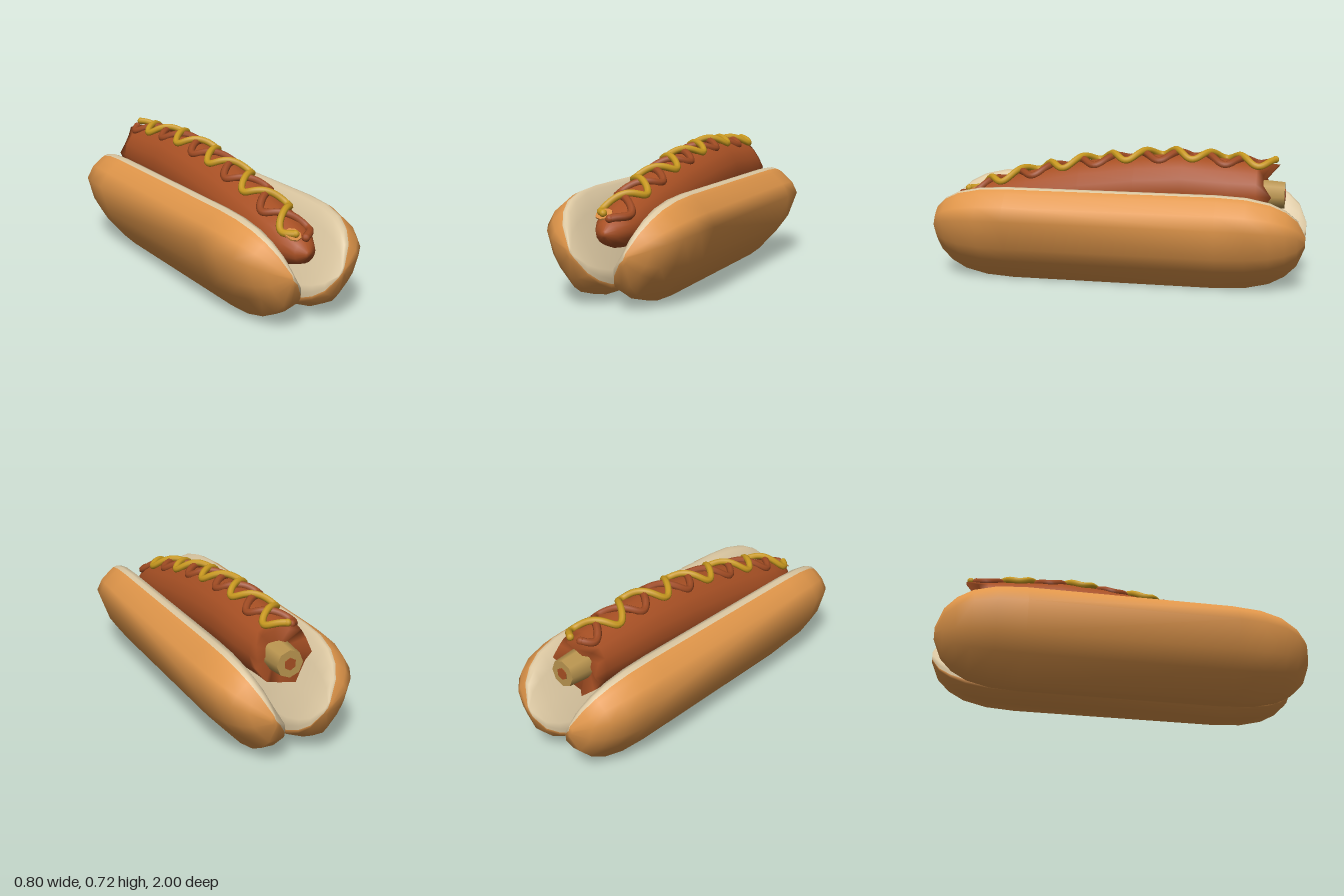
import * as THREE from 'three';

const mat = (name, color, side = THREE.FrontSide) => {
  const m = new THREE.MeshStandardMaterial({ color, side });
  m.name = name;
  return m;
};

// Skin a list of rings (front to back, counter-clockwise seen from the front) and close both ends.
// Segments from index `split` onward use the second material.
function loft(rings, { split = Infinity, flip = false, backCentre = null } = {}) {
  const n = rings[0].length, pos = [], faces = [[], []];
  rings.forEach(r => r.forEach(p => pos.push(...p)));
  const mean = r => [0, 1, 2].map(k => r.reduce((s, p) => s + p[k], 0) / n);
  const last = rings.length - 1, front = rings.length * n, back = front + 1;
  pos.push(...mean(rings[0]), ...(backCentre ?? mean(rings[last])));
  const tri = (i, a, b, c) => faces[i >= split ? 1 : 0].push(...(flip ? [a, c, b] : [a, b, c]));
  for (let i = 0; i < n; i++) {
    const j = (i + 1) % n;
    for (let k = 0; k < last; k++) {
      const a = k * n, b = a + n;
      tri(i, a + i, b + i, a + j);
      tri(i, a + j, b + i, b + j);
    }
    tri(i, front, i, j);
    tri(i, back, last * n + j, last * n + i);
  }
  const g = new THREE.BufferGeometry();
  g.setAttribute('position', new THREE.Float32BufferAttribute(pos, 3));
  g.setIndex([...faces[0], ...faces[1]]);
  g.addGroup(0, faces[0].length, 0);
  if (faces[1].length) g.addGroup(faces[0].length, faces[1].length, 1);
  g.computeVertexNormals();
  return g;
}

// Bun half outlines: crust from the hinge round to the top, then the cut face back down
const CRUST_SEGMENTS = 9;
const bunLeft = [[0, .07], [0, .045], [.08, .003], [.17, .002], [.28, .12], [.34, .2], [.4, .36], [.365, .43],
  [.3, .49], [.275, .508], [.25, .515], [.22, .51], [.17, .44], [.09, .3], [0, .15], [-.003, .1]];
const bunRight = [[0, .07], [0, .045], [.11, .003], [.195, .007], [.3, .13], [.355, .225], [.4, .378], [.355, .455],
  [.3, .5], [.27, .517], [.245, .527], [.215, .515], [.165, .44], [.09, .305], [0, .15], [-.003, .1]];
const bunTaper = [[1, .12], [.96, .48], [.9, .7], [.82, .86], [.7, .965], [.55, 1]];

function bunGeometry(profile, side, cx, cy) {
  const stations = [...bunTaper, ...bunTaper.map(([z, s]) => [-z, s]).reverse()];
  const rings = stations.map(([z, s]) =>
    profile.map(([x, y]) => [side * (cx + (x - cx) * s), cy + (y - cy) * s, z]));
  return loft(rings, { split: CRUST_SEGMENTS, flip: side < 0 });
}

// Sausage stations: z, bottom, top, half width
const sausage = [[.92, .34, .37, .015], [.89, .3, .41, .06], [.82, .275, .45, .1], [.7, .262, .5, .13],
  [.5, .256, .56, .152], [.2, .28, .625, .165], [-.1, .31, .665, .17], [-.35, .33, .68, .168],
  [-.6, .33, .66, .158], [-.74, .34, .65, .15], [-.81, .34, .64, .145]];

function topAt(z) {
  for (let i = 1; i < sausage.length; i++) {
    const a = sausage[i - 1], b = sausage[i];
    if (z >= b[0]) return THREE.MathUtils.lerp(b[2], a[2], (z - b[0]) / (a[0] - b[0]));
  }
  return sausage.at(-1)[2];
}

function sausageGeometry() {
  const sides = 16;
  // torn rear edge: z offset for each side
  const tear = [-.01, .03, .035, .0, -.04, -.045, .02, .03, -.01, .03, .02, -.02, .03, .03, -.02, .03];
  const rings = sausage.map(([z, lo, hi, rx], k) => Array.from({ length: sides }, (_, i) => {
    const a = i / sides * Math.PI * 2;
    const dz = k === sausage.length - 1 ? tear[i] : 0;
    return [rx * Math.cos(a), (lo + hi) / 2 + (hi - lo) / 2 * Math.sin(a), z + dz];
  }));
  return loft(rings, { backCentre: [0, .49, -.73] });
}

// Sauce line zigzagging along the top of the sausage
function sauceGeometry(dir, z0, z1, lift, drop, radius) {
  const pts = [];
  for (let i = 0; i <= 100; i++) {
    const z = THREE.MathUtils.lerp(z0, z1, i / 100);
    const c = Math.cos((z + .4) / .343 * Math.PI * 2);
    pts.push(new THREE.Vector3(dir * .078 * c, topAt(z) + lift - drop * c * c, z));
  }
  return new THREE.TubeGeometry(new THREE.CatmullRomCurve3(pts), 220, radius, 8);
}

export function createModel() {
  const model = new THREE.Group();
  const crust = mat('crust', 0xe0964a);
  const crumb = mat('crumb', 0xdcc8a2);
  const skin = mat('sausageSkin', 0xa85024, THREE.DoubleSide);
  const meat = mat('meat', 0xbb9650);
  const mustard = mat('mustard', 0xc8981f);
  const ketchup = mat('ketchup', 0x9e4a22);
  const pale = mat('paleSkin', 0xd68a42);

  const add = (name, geometry, material, parent = model) => {
    const m = new THREE.Mesh(geometry, material);
    m.name = name;
    parent.add(m);
    return m;
  };

  // bun
  add('bunLeft', bunGeometry(bunLeft, 1, .135, .265), [crust, crumb]);
  add('bunRight', bunGeometry(bunRight, -1, .13, .275), [crust, crumb]);

  // sausage with its bitten rear end
  add('sausage', sausageGeometry(), skin);
  const stub = add('bittenMeat', new THREE.CylinderGeometry(.07, .085, .2, 8).rotateX(-Math.PI / 2), meat);
  stub.position.set(.01, .48, -.785);
  const spot = add('meatSpot', new THREE.CylinderGeometry(.032, .032, .006, 6).rotateX(-Math.PI / 2), skin);
  spot.position.set(.01, .48, -.886);
  const patch = add('frontPatch', new THREE.CylinderGeometry(.042, .042, .008, 8), pale);
  patch.position.set(-.04, .437, .845);
  patch.rotation.x = .5;

  // sauces with rounded ends
  const sauces = [['mustard', mustard, 1, -.83, .86, .025, .036, .018],
    ['ketchup', ketchup, -1, -.8, .88, .009, .03, .02]];
  for (const [name, material, dir, z0, z1, lift, drop, r] of sauces) {
    const g = new THREE.Group();
    g.name = name;
    model.add(g);
    const tube = sauceGeometry(dir, z0, z1, lift, drop, r);
    add(name + 'Line', tube, material, g);
    for (const t of [0, 1]) {
      add(name + 'End', new THREE.SphereGeometry(r * 1.05, 10, 8), material, g)
        .position.copy(tube.parameters.path.getPointAt(t));
    }
  }
  return model;
}
